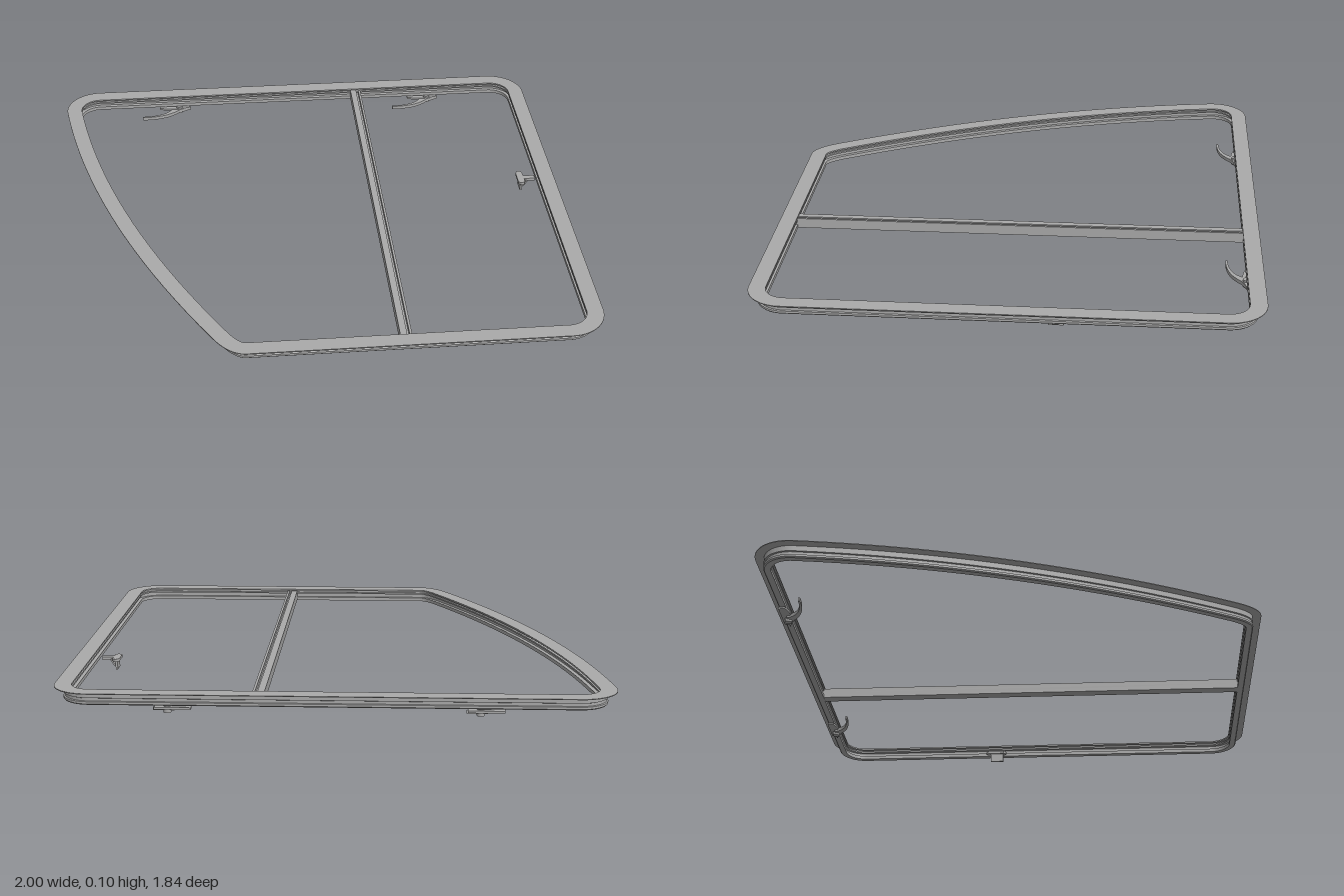
import * as THREE from 'three';
import { toCreasedNormals } from 'three/addons/utils/BufferGeometryUtils.js';

const grey = new THREE.MeshStandardMaterial({ color: 0xaaaaaa });
grey.name = 'grey metal';

function mesh(geometry, name) {
  const m = new THREE.Mesh(geometry, grey);
  m.name = name;
  return m;
}

// Outer outline of the frame in x and z, starting on the back edge
function outline() {
  const s = new THREE.Shape();
  s.moveTo(-0.86, -0.92);
  s.lineTo(0.86, -0.92);
  s.absarc(0.86, -0.78, 0.14, -Math.PI / 2, 0, false);
  s.lineTo(1, 0.78);
  s.absarc(0.86, 0.78, 0.14, 0, Math.PI / 2, false);
  s.lineTo(-0.31, 0.92);
  s.bezierCurveTo(-0.365, 0.92, -0.405, 0.863, -0.43, 0.82);
  s.quadraticCurveTo(-0.88, 0.046, -0.997, -0.76);
  s.bezierCurveTo(-1.01, -0.85, -0.94, -0.92, -0.86, -0.92);
  const pts = s.getPoints(20);
  return pts.filter((p, i) => p.distanceTo(pts[(i + 1) % pts.length]) > 1e-4);
}

// Sweeps a closed profile of [inset, height] around a closed outline
function sweep(path, profile) {
  const n = path.length, k = profile.length, pos = [], index = [];
  path.forEach((p, i) => {
    const t0 = p.clone().sub(path[(i + n - 1) % n]).normalize();
    const t1 = path[(i + 1) % n].clone().sub(p).normalize();
    const t = t0.clone().add(t1).normalize();
    const miter = 1 / t.dot(t1);
    profile.forEach(([d, y], j) => {
      pos.push(p.x - t.y * d * miter, y, p.y + t.x * d * miter);
      const a = i * k + j, c = i * k + (j + 1) % k;
      const b = ((i + 1) % n) * k + j, e = ((i + 1) % n) * k + (j + 1) % k;
      index.push(a, c, b, b, c, e);
    });
  });
  const g = new THREE.BufferGeometry();
  g.setAttribute('position', new THREE.Float32BufferAttribute(pos, 3));
  g.setIndex(index);
  return toCreasedNormals(g, 0.5);
}

// Flat plate from a shape drawn in x and z, between two heights
function plate(shape, y0, y1, name) {
  const g = new THREE.ExtrudeGeometry(shape, { depth: y1 - y0, bevelEnabled: false, curveSegments: 12 });
  g.rotateX(Math.PI / 2);
  g.translate(0, y1, 0);
  return mesh(toCreasedNormals(g, 0.5), name);
}

function box(w, h, d, x, y, z, name) {
  const m = mesh(new THREE.BoxGeometry(w, h, d), name);
  m.position.set(x, y, z);
  return m;
}

// Curved opening lever below the back rail
function createLever(x) {
  const g = new THREE.Group();
  g.name = 'lever';
  const arm = new THREE.Shape();
  arm.moveTo(-0.105, -0.79);
  arm.quadraticCurveTo(0, -0.785, 0.055, -0.842);
  arm.lineTo(0.105, -0.865);
  arm.lineTo(0.03, -0.865);
  arm.quadraticCurveTo(0.01, -0.797, -0.105, -0.797);
  g.add(plate(arm, 0.028, 0.042, 'leverArm'));
  const base = new THREE.Shape();
  base.moveTo(-0.03, -0.885);
  base.lineTo(0.1, -0.885);
  base.lineTo(0.1, -0.858);
  base.lineTo(0.05, -0.847);
  base.quadraticCurveTo(0.005, -0.845, -0.03, -0.86);
  g.add(plate(base, 0.036, 0.044, 'leverBase'));
  const pivot = mesh(new THREE.CylinderGeometry(0.014, 0.014, 0.03, 20), 'leverPivot');
  pivot.position.set(0.055, 0.036, -0.862);
  g.add(pivot);
  g.position.x = x;
  return g;
}

// Small T-shaped latch beside the right-hand rail
function createLatch() {
  const g = new THREE.Group();
  g.name = 'latch';
  const grip = new THREE.Shape();
  grip.moveTo(0.868, -0.215);
  grip.quadraticCurveTo(0.882, -0.24, 0.895, -0.215);
  grip.lineTo(0.895, -0.15);
  grip.quadraticCurveTo(0.882, -0.128, 0.868, -0.15);
  g.add(plate(grip, 0.035, 0.046, 'latchGrip'));
  g.add(box(0.008, 0.04, 0.055, 0.881, 0.02, -0.18, 'latchTab'));
  const brace = box(0.006, 0.03, 0.04, 0.897, 0.026, -0.18, 'latchBrace');
  brace.rotation.z = -0.6;
  g.add(brace);
  g.add(box(0.06, 0.012, 0.022, 0.91, 0.04, -0.18, 'latchStem'));
  return g;
}

export function createModel() {
  const model = new THREE.Group();
  model.name = 'windowFrame';

  // Thin flange, grooved outer wall and inner glazing channels
  model.add(mesh(sweep(outline(), [
    [0, 0.1], [0.062, 0.1], [0.062, 0.094], [0.05, 0.094], [0.05, 0.086],
    [0.06, 0.086], [0.06, 0.08], [0.045, 0.08], [0.045, 0.064], [0.06, 0.064],
    [0.06, 0.05], [0.037, 0.05], [0.033, 0.054], [0.033, 0.062], [0.038, 0.064],
    [0.038, 0.074], [0.033, 0.076], [0.033, 0.096], [0, 0.097],
  ]), 'frame'));

  // Grooved bar between the two panes
  const bar = new THREE.Group();
  bar.name = 'dividerBar';
  bar.add(box(0.043, 0.022, 1.74, 0.2665, 0.062, 0, 'barBase'));
  bar.add(box(0.025, 0.018, 1.74, 0.2575, 0.081, 0, 'barWideRib'));
  bar.add(box(0.009, 0.018, 1.74, 0.2835, 0.081, 0, 'barNarrowRib'));
  model.add(bar);

  for (const x of [-0.57, 0.53]) model.add(createLever(x));
  model.add(createLatch());
  return model;
}
